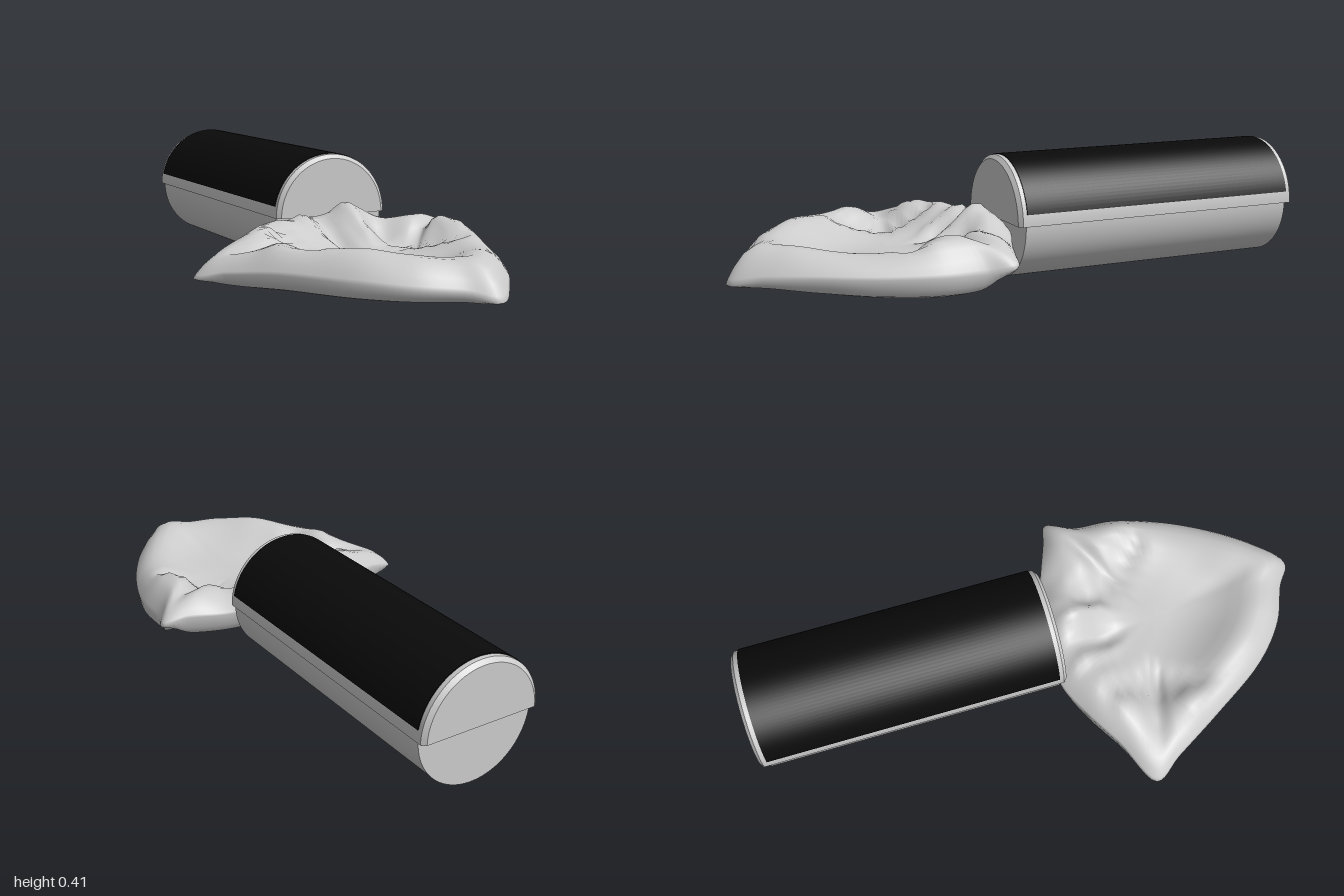
import * as THREE from 'three';
import { toCreasedNormals } from 'three/addons/utils/BufferGeometryUtils.js';

const grey = (side = THREE.FrontSide) => new THREE.MeshStandardMaterial({ color: 0xcccccc, side });
const CX = 0.095, CY = 0.203;

function named(name, geometry, material) {
  const mesh = new THREE.Mesh(geometry, material);
  mesh.name = name;
  return mesh;
}

// Partial turned solid lying along z; profile pairs are [radius, z], from back to front
function turned(profile, start, length) {
  const pts = profile.map(([r, z]) => new THREE.Vector2(r, z));
  const g = new THREE.LatheGeometry(pts, 48, start, length);
  g.rotateX(Math.PI / 2);
  g.translate(CX, CY, 0);
  return toCreasedNormals(g, 0.4);
}

function createCase() {
  const group = new THREE.Group();
  group.name = 'cylindricalCase';
  const half = Math.PI / 2;

  group.add(named('lowerBody', turned(
    [[0, -0.97], [0.203, -0.97], [0.203, 0.05], [0, 0.05]], -half, Math.PI), grey()));

  // Lid overhangs the body at both ends and has bevelled rims
  group.add(named('lid', turned(
    [[0, -1], [0.195, -1], [0.209, -0.988], [0.209, 0.063], [0.195, 0.075], [0, 0.075]],
    half, Math.PI), grey()));
  const under = new THREE.PlaneGeometry(0.416, 1.06);
  under.rotateX(half);
  under.translate(CX, CY, -0.4625);
  group.add(named('lidUnderside', under, grey(THREE.DoubleSide)));

  // Dark cover over the lid
  const gap = 0.19;
  const cover = turned(
    [[0.208, -0.972], [0.212, -0.972], [0.212, 0.048], [0.208, 0.048]],
    half + gap, Math.PI - 2 * gap);
  group.add(named('darkCover', cover,
    new THREE.MeshStandardMaterial({ color: 0x0a0a0a, side: THREE.DoubleSide })));
  return group;
}

// Outline of the cloth: x, z, height of the raised rim, height of the outer edge, height of the hem
const OUTLINE = [
  [0.14, 0.99, 0.19, 0.075, 0.066], [0.23, 0.9, 0.185, 0.10, 0.065], [0.32, 0.77, 0.175, 0.11, 0.055],
  [0.41, 0.6, 0.175, 0.11, 0.045], [0.47, 0.42, 0.19, 0.11, 0.04], [0.48, 0.27, 0.21, 0.11, 0.045],
  [0.51, 0.18, 0.19, 0.13, 0.11], [0.43, 0.15, 0.205, 0.15, 0.07], [0.3, 0.1, 0.185, 0.15, 0.07],
  [0.18, 0.055, 0.235, 0.17, 0.09], [0.04, 0.055, 0.22, 0.17, 0.10], [-0.11, 0.055, 0.205, 0.16, 0.10],
  [-0.23, 0.11, 0.215, 0.15, 0.05], [-0.36, 0.19, 0.195, 0.13, 0.045], [-0.51, 0.28, 0.15, 0.077, 0.07],
  [-0.45, 0.38, 0.17, 0.10, 0.06], [-0.35, 0.55, 0.195, 0.12, 0.065], [-0.21, 0.76, 0.205, 0.12, 0.065],
  [-0.08, 0.875, 0.195, 0.11, 0.065], [0.05, 0.935, 0.185, 0.10, 0.065],
];

// Radial section: distance from centre, then weights of basin, rim, edge and hem heights
const SECTION = [
  [0.12, 1, 0, 0, 0], [0.25, 1, 0, 0, 0], [0.36, 0.93, 0.07, 0, 0], [0.47, 0.75, 0.25, 0, 0],
  [0.57, 0.47, 0.53, 0, 0], [0.66, 0.17, 0.83, 0, 0], [0.74, 0, 1, 0, 0], [0.82, 0, 0.97, 0.03, 0],
  [0.89, 0, 0.8, 0.2, 0], [0.95, 0, 0.45, 0.55, 0], [0.985, 0, 0.15, 0.85, 0], [1, 0, 0, 1, 0],
  [0.985, 0, 0, 0.5, 0.5], [0.94, 0, 0, 0.15, 0.85], [0.87, 0, 0, 0, 1], [0.78, 0, 0.08, 0, 0.92],
];

// Straight crease from a to b in plan, with a smooth falloff
function crease(x, z, [ax, az, bx, bz, depth, width]) {
  const dx = bx - ax, dz = bz - az;
  const t = THREE.MathUtils.clamp(((x - ax) * dx + (z - az) * dz) / (dx * dx + dz * dz), 0, 1);
  const d = Math.hypot(x - ax - t * dx, z - az - t * dz) / width;
  return depth * Math.exp(-d * d);
}
const CREASES = [
  [-0.18, 0.22, -0.22, 0.52, -0.035, 0.03], [-0.25, 0.24, -0.3, 0.45, 0.018, 0.04],
  [0.17, 0.22, 0.34, 0.47, -0.03, 0.03], [0.24, 0.18, 0.38, 0.4, 0.015, 0.04],
  [0.1, 0.13, 0.13, 0.27, 0.025, 0.03], [-0.06, 0.13, -0.03, 0.28, 0.02, 0.025],
  [0.02, 0.15, 0.03, 0.28, -0.03, 0.03],
];

function createCloth() {
  const plan = new THREE.CatmullRomCurve3(
    OUTLINE.map(([x, z]) => new THREE.Vector3(x, 0, z)), true, 'centripetal');
  const heights = new THREE.CatmullRomCurve3(
    OUTLINE.map(o => new THREE.Vector3(o[2], o[3], o[4])), true, 'catmullrom', 0.4);
  const N = 120, basin = 0.125, cx = 0.06, cz = 0.45;
  const pos = [cx, basin, cz], index = [];

  SECTION.forEach(([r, wb, wr, we, wh], k) => {
    for (let i = 0; i < N; i++) {
      const p = plan.getPoint(i / N), h = heights.getPoint(i / N);
      const x = cx + (p.x - cx) * r, z = cz + (p.z - cz) * r;
      let y = basin * wb + h.x * wr + h.y * we + h.z * wh;
      // Folds and gentle wrinkles on the upper sheet
      if (k < 10) {
        const fade = 1 - we;
        for (const c of CREASES) y += fade * crease(x, z, c);
        y += fade * 0.005 * Math.sin(x * 17 + z * 9) * Math.cos(z * 14 - x * 6);
      }
      pos.push(x, y, z);
    }
  });

  for (let i = 0; i < N; i++) {
    const j = (i + 1) % N;
    index.push(0, 1 + i, 1 + j);
    for (let k = 0; k < SECTION.length - 1; k++) {
      const a = 1 + k * N, b = a + N;
      index.push(a + i, b + i, b + j, a + i, b + j, a + j);
    }
  }
  const g = new THREE.BufferGeometry();
  g.setAttribute('position', new THREE.Float32BufferAttribute(pos, 3));
  g.setIndex(index);
  g.computeVertexNormals();
  return named('crumpledCloth', g, grey(THREE.DoubleSide));
}

export function createModel() {
  const model = new THREE.Group();
  model.name = 'caseWithCloth';
  model.add(createCase(), createCloth());
  return model;
}
